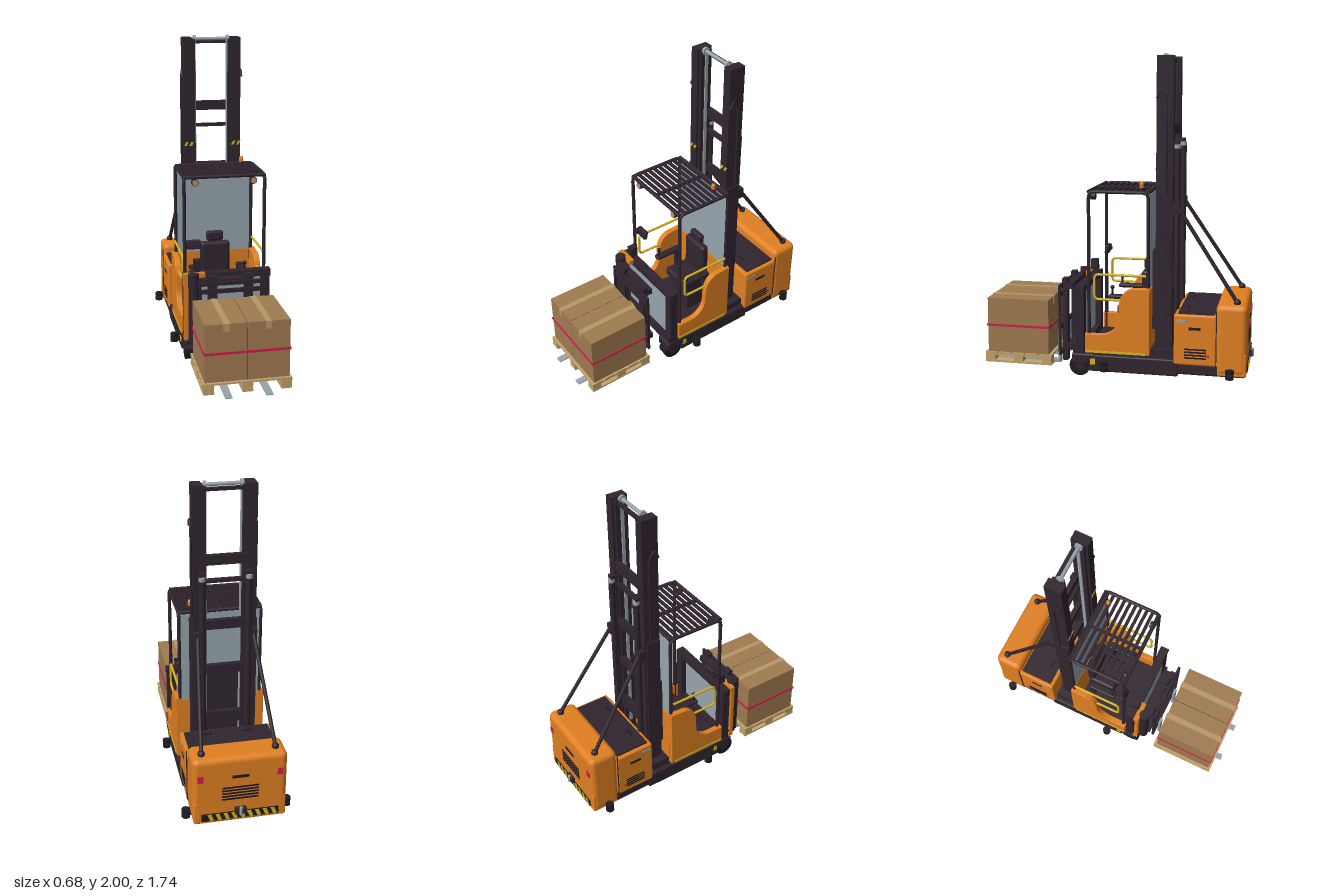
import * as THREE from 'three';
import { RoundedBoxGeometry } from 'three/addons/geometries/RoundedBoxGeometry.js';

const mat = (name, color, extra = {}) => Object.assign(new THREE.MeshStandardMaterial({ color, ...extra }), { name });

export function createModel() {
  const orange = mat('orange paint', 0xe08021), dark = mat('dark frame', 0x30252f);
  const black = mat('black rubber', 0x1f1a20), steel = mat('steel', 0x98a3aa);
  const glass = mat('clear panel', 0x97a5ae, { side: THREE.DoubleSide });
  const card = mat('cardboard', 0xa07b50), wood = mat('pallet wood', 0xc4a26c);
  const tape = mat('packing tape', 0xb8966a), yellow = mat('yellow', 0xd8b41c), red = mat('red', 0xd01c50);

  const model = new THREE.Group();
  const group = (name) => { const g = new THREE.Group(); g.name = name; model.add(g); return g; };
  const add = (g, name, geo, m, x = 0, y = 0, z = 0) => {
    const o = new THREE.Mesh(geo, m);
    o.name = name; o.position.set(x, y, z); g.add(o); return o;
  };
  // box given by its limits on each axis
  const box = (g, name, m, x0, x1, y0, y1, z0, z1, r = 0) => {
    const s = [x1 - x0, y1 - y0, z1 - z0];
    const geo = r ? new RoundedBoxGeometry(...s, 3, r) : new THREE.BoxGeometry(...s);
    return add(g, name, geo, m, (x0 + x1) / 2, (y0 + y1) / 2, (z0 + z1) / 2);
  };
  const cyl = (g, name, m, r, h, x, y, z, axis = 'y') => {
    const geo = new THREE.CylinderGeometry(r, r, h, 24);
    if (axis === 'x') geo.rotateZ(Math.PI / 2);
    if (axis === 'z') geo.rotateX(Math.PI / 2);
    return add(g, name, geo, m, x, y, z);
  };
  // round bar along straight runs with softened corners
  const bar = (g, name, m, pts, r, bend = 0.04) => {
    const p = pts.map((a) => new THREE.Vector3(...a)), path = new THREE.CurvePath();
    let from = p[0];
    for (let i = 1; i < p.length - 1; i++) {
      const a = p[i].clone().add(p[i - 1].clone().sub(p[i]).setLength(bend));
      const b = p[i].clone().add(p[i + 1].clone().sub(p[i]).setLength(bend));
      path.add(new THREE.LineCurve3(from, a));
      path.add(new THREE.QuadraticBezierCurve3(a, p[i], b));
      from = b;
    }
    path.add(new THREE.LineCurve3(from, p[p.length - 1]));
    return add(g, name, new THREE.TubeGeometry(path, p.length > 2 ? 80 : 1, r, 10), m);
  };
  // slanted warning stripes on a plate facing +z
  const stripes = (g, m, x0, y0, z, n, w, h) => {
    for (let i = 0; i < n; i++) {
      const a = x0 + i * w * 2;
      const s = new THREE.Shape([[a, y0], [a + w, y0], [a + w * 1.7, y0 + h], [a + w * 0.7, y0 + h]].map((p) => new THREE.Vector2(...p)));
      add(g, 'warningStripe', new THREE.ExtrudeGeometry(s, { depth: 0.003, bevelEnabled: false }), m, 0, 0, z);
    }
  };
  const sides = [-1, 1];
  // box mirrored over x
  const pair = (g, name, m, x0, x1, ...rest) => sides.forEach((s) => box(g, name, m, s > 0 ? x0 : -x1, s > 0 ? x1 : -x0, ...rest));

  // chassis, wheels and guide rollers
  const base = group('chassis');
  box(base, 'rearFrame', dark, -0.275, 0.275, 0.05, 0.12, -0.83, -0.4, 0.01);
  box(base, 'midFrame', dark, -0.28, 0.28, 0.035, 0.14, -0.42, 0.14, 0.01);
  pair(base, 'mastFoot', dark, 0.1, 0.25, 0.13, 0.19, -0.4, -0.23);
  pair(base, 'outrigger', dark, 0.165, 0.28, 0.075, 0.145, 0.1, 0.25, 0.012);
  box(base, 'frontBeam', dark, -0.27, 0.27, 0.1, 0.15, 0.13, 0.22);
  for (const s of sides) {
    cyl(base, 'frontWheel', black, 0.066, 0.07, s * 0.235, 0.066, 0.2, 'x');
    cyl(base, 'frontHub', dark, 0.03, 0.08, s * 0.235, 0.066, 0.2, 'x');
    box(base, 'sideLabel', yellow, s * 0.281 - 0.002, s * 0.281 + 0.002, 0.08, 0.118, 0.1, 0.13);
    for (const z of [0.035, -0.74]) {
      box(base, 'rollerArm', dark, s * 0.29 - 0.03, s * 0.29 + 0.03, 0.07, 0.09, z - 0.015, z + 0.015);
      cyl(base, 'guideRoller', black, 0.026, 0.022, s * 0.312, 0.096, z);
      cyl(base, 'guideRoller', black, 0.026, 0.022, s * 0.312, 0.064, z);
    }
  }
  cyl(base, 'driveWheel', black, 0.072, 0.06, 0, 0.072, -0.69, 'x');

  // rear hood and battery compartment
  const rear = group('rearBody');
  box(rear, 'hood', orange, -0.285, 0.285, 0.06, 0.498, -0.838, -0.65, 0.035);
  box(rear, 'hoodSkirt', orange, -0.28, 0.28, 0.055, 0.2, -0.836, -0.66, 0.01);
  box(rear, 'batteryBox', orange, -0.288, 0.288, 0.115, 0.43, -0.655, -0.395, 0.012);
  box(rear, 'batteryLid', dark, -0.265, 0.265, 0.42, 0.44, -0.642, -0.42);
  pair(rear, 'lidGrip', black, 0.1, 0.16, 0.44, 0.446, -0.475, -0.465);
  for (const s of sides) {
    const plate = (name, m, y0, y1, z0, z1) => box(rear, name, m, s * 0.288 - 0.003, s * 0.288 + 0.003, y0, y1, z0, z1);
    for (let i = 0; i < 4; i++) plate('sideVent', black, 0.158 + i * 0.018, 0.167 + i * 0.018, -0.595, -0.46);
    plate('sideGrip', black, 0.338, 0.354, -0.56, -0.485);
    plate('latch', steel, 0.384, 0.4, -0.475, -0.41);
    plate('sideReflector', red, 0.17, 0.185, -0.612, -0.598);
    plate('panelSeam', dark, 0.115, 0.46, -0.657, -0.652);
    box(rear, 'tailLight', red, s * 0.24 - 0.017, s * 0.24 + 0.017, 0.35, 0.395, -0.842, -0.835);
  }
  for (let i = 0; i < 5; i++) box(rear, 'rearVent', black, -0.11, 0.11, 0.21 + i * 0.02, 0.22 + i * 0.02, -0.841, -0.835);
  box(rear, 'rearGrip', black, -0.05, 0.05, 0.36, 0.378, -0.842, -0.835);
  box(rear, 'warningPlate', black, -0.235, 0.235, 0.075, 0.125, -0.843, -0.836);
  stripes(rear, yellow, -0.225, 0.078, -0.846, 9, 0.024, 0.044);
  box(rear, 'towBlock', dark, -0.035, 0.035, 0.115, 0.155, -0.86, -0.83);
  cyl(rear, 'towPin', steel, 0.01, 0.05, 0, 0.135, -0.86);

  // lifting mast with beams, cylinders, hoses and stays
  const mast = group('mast');
  pair(mast, 'outerUpright', dark, 0.128, 0.187, 0.14, 1.985, -0.37, -0.265);
  pair(mast, 'innerUpright', dark, 0.108, 0.128, 0.16, 1.975, -0.355, -0.28);
  pair(mast, 'slideRail', steel, 0.1, 0.108, 0.3, 1.99, -0.325, -0.305);
  pair(mast, 'lowerUpright', dark, 0.187, 0.2, 0.14, 1.15, -0.36, -0.27);
  for (const [y0, y1] of [[1.51, 1.57], [1.4, 1.42], [1.1, 1.16], [0.8, 0.86], [0.45, 0.53], [0.16, 0.28]])
    box(mast, 'crossBeam', dark, -0.13, 0.13, y0, y1, -0.365, -0.335);
  box(mast, 'topBeam', dark, -0.12, 0.12, 1.945, 1.965, -0.345, -0.325);
  cyl(mast, 'topShaft', steel, 0.011, 0.24, 0, 1.975, -0.31, 'x');
  for (const s of sides) {
    cyl(mast, 'chainWheel', steel, 0.025, 0.016, s * 0.108, 1.973, -0.31, 'x');
    cyl(mast, 'liftCylinder', dark, 0.019, 1.29, s * 0.14, 0.785, -0.39);
    cyl(mast, 'cylinderCap', steel, 0.021, 0.025, s * 0.14, 1.44, -0.39);
    box(mast, 'cylinderBracket', dark, s * 0.14 - 0.02, s * 0.14 + 0.02, 1.453, 1.475, -0.4, -0.36);
    bar(mast, 'hose', dark, [[s * 0.194, 1.73, -0.268], [s * 0.194, 1.79, -0.295], [s * 0.194, 1.72, -0.33], [s * 0.194, 0.3, -0.33]], 0.007, 0.03);
    bar(mast, 'stay', dark, [[s * 0.17, 1.07, -0.4], [s * 0.222, 0.51, -0.77]], 0.012);
    add(mast, 'stayJoint', new THREE.SphereGeometry(0.022, 16, 10), dark, s * 0.222, 0.508, -0.773);
    box(mast, 'stayBracket', dark, s * 0.17 - 0.02, s * 0.17 + 0.02, 1.03, 1.1, -0.41, -0.36);
    stripes(mast, yellow, s * 0.157 - 0.03, 1.285, -0.265, 2, 0.017, 0.026);
  }
  box(mast, 'cabCarriage', dark, -0.18, 0.18, 0.3, 0.8, -0.265, -0.245);

  // cab shell with curved side cutouts
  const cab = group('cab');
  const sh = new THREE.Shape();
  sh.moveTo(0.16, 0.16); sh.lineTo(0.16, 0.272); sh.lineTo(0.06, 0.272);
  sh.bezierCurveTo(0, 0.275, -0.05, 0.32, -0.052, 0.39);
  sh.lineTo(-0.055, 0.46);
  sh.bezierCurveTo(-0.06, 0.53, -0.1, 0.57, -0.15, 0.57);
  sh.lineTo(-0.24, 0.575); sh.lineTo(-0.24, 0.16); sh.closePath();
  const sideGeo = new THREE.ExtrudeGeometry(sh, { depth: 0.03, bevelSize: 0.004, bevelThickness: 0.004, bevelSegments: 2, curveSegments: 16 });
  sideGeo.rotateY(-Math.PI / 2);
  for (const s of sides) {
    add(cab, 'cabSide', sideGeo, orange, s > 0 ? 0.28 : -0.25);
    box(cab, 'sillStrip', yellow, s * 0.284 - 0.004, s * 0.284 + 0.004, 0.158, 0.172, -0.22, 0.16);
    bar(cab, 'roofFrame', dark, [[s * 0.255, 0.16, 0.142], [s * 0.255, 1.165, 0.142], [s * 0.255, 1.165, -0.23], [s * 0.255, 0.5, -0.23]], 0.011, 0.035);
    bar(cab, 'handrail', yellow, [[s * 0.262, 0.652, -0.22], [s * 0.262, 0.652, 0.105], [s * 0.262, 0.495, 0.105], [s * 0.262, 0.495, -0.07]], 0.008, 0.03);
    cyl(cab, 'headlightRim', dark, 0.022, 0.03, s * 0.185, 1.13, 0.128, 'z');
    cyl(cab, 'headlight', tape, 0.018, 0.006, s * 0.185, 1.13, 0.145, 'z');
  }
  box(cab, 'cabFloor', dark, -0.255, 0.255, 0.14, 0.175, -0.24, 0.16);
  box(cab, 'rearWall', orange, -0.26, 0.26, 0.16, 0.57, -0.245, -0.23);
  box(cab, 'rearPanel', glass, -0.245, 0.245, 0.57, 1.155, -0.238, -0.232);
  box(cab, 'frontPanel', glass, -0.245, 0.26, 0.16, 0.54, 0.212, 0.218);
  for (let i = 0; i < 10; i++) box(cab, 'roofSlat', dark, -0.255, 0.255, 1.158, 1.172, -0.222 + i * 0.039, -0.203 + i * 0.039);
  for (const z of [0.142, -0.23]) cyl(cab, 'roofCrossTube', dark, 0.011, 0.51, 0, 1.165, z, 'x');
  box(cab, 'roofSpine', dark, -0.008, 0.008, 1.155, 1.175, -0.23, 0.142);
  cyl(cab, 'beaconFoot', dark, 0.016, 0.015, 0.175, 1.178, -0.175);
  add(cab, 'beacon', new THREE.CapsuleGeometry(0.014, 0.02, 4, 16), orange, 0.175, 1.2, -0.175);

  // seat and controls
  const seat = group('seat');
  box(seat, 'seatPedestal', dark, -0.1, 0.1, 0.17, 0.37, -0.2, -0.04);
  box(seat, 'cushion', dark, -0.11, 0.11, 0.36, 0.425, -0.2, -0.005, 0.02);
  box(seat, 'backrest', dark, -0.1, 0.1, 0.4, 0.65, -0.215, -0.16, 0.022);
  box(seat, 'headrest', dark, -0.056, 0.056, 0.655, 0.72, -0.21, -0.17, 0.014);
  box(seat, 'headrestPost', dark, -0.02, 0.02, 0.63, 0.67, -0.2, -0.18);
  pair(seat, 'armrest', dark, 0.135, 0.185, 0.48, 0.505, -0.16, 0.035, 0.01);
  pair(seat, 'armrestPost', dark, 0.14, 0.17, 0.36, 0.485, -0.16, -0.12);
  sides.forEach((s) => {
    cyl(seat, 'joystick', black, 0.007, 0.05, s * 0.16, 0.52, 0.012);
    add(seat, 'joystickKnob', new THREE.SphereGeometry(0.013, 12, 8), black, s * 0.16, 0.552, 0.012);
  });
  box(seat, 'monitor', dark, -0.24, -0.15, 0.698, 0.758, 0.105, 0.13, 0.008).rotation.x = -0.2;
  box(seat, 'monitorArm', dark, -0.255, -0.22, 0.715, 0.735, 0.1, 0.145);
  box(seat, 'controlBox', dark, -0.21, -0.165, 0.59, 0.657, 0.183, 0.23);
  box(seat, 'controlBoxPost', dark, -0.195, -0.18, 0.55, 0.6, 0.2, 0.215);

  // front frame and swivelling fork head
  const head = group('forkHead');
  box(head, 'topRail', dark, -0.27, 0.28, 0.53, 0.572, 0.175, 0.23);
  box(head, 'bottomRail', dark, -0.27, 0.28, 0.15, 0.2, 0.175, 0.24);
  pair(head, 'frontPost', dark, 0.215, 0.275, 0.13, 0.572, 0.172, 0.225);
  for (const y of [0.15, 0.55]) {
    box(head, 'swivelBracket', orange, -0.28, -0.145, y, y + 0.032, 0.225, 0.26);
    box(head, 'swivelArm', dark, -0.2, 0.14, y - 0.03, y + 0.01, 0.275, 0.325);
  }
  box(head, 'swivelPlate', orange, -0.28, -0.25, 0.15, 0.58, 0.235, 0.26);
  cyl(head, 'swivelPost', dark, 0.034, 0.44, -0.222, 0.37, 0.282);
  pair(head, 'carriageUpright', dark, 0.085, 0.14, 0.05, 0.588, 0.312, 0.345);
  for (const y of [0.1, 0.27, 0.48, 0.53]) box(head, 'carriageBar', dark, -0.2, 0.2, y, y + 0.025, 0.34, 0.356);
  pair(head, 'carriageEnd', dark, 0.185, 0.2, 0.1, 0.555, 0.34, 0.356);
  // forks taper towards the tip
  const forkShape = new THREE.Shape([[0.36, 0.25], [0.36, 0.032], [0.865, 0.034], [0.865, 0.04], [0.6, 0.05], [0.376, 0.05], [0.376, 0.25]].map((p) => new THREE.Vector2(...p)));
  const forkGeo = new THREE.ExtrudeGeometry(forkShape, { depth: 0.042, bevelEnabled: false }).rotateY(-Math.PI / 2);
  sides.forEach((s) => add(head, 'fork', forkGeo, steel, s * 0.12 + 0.021));

  // pallet
  const pallet = group('pallet');
  for (let i = 0; i < 5; i++) box(pallet, 'deckBoard', wood, -0.262, 0.262, 0.104, 0.115, 0.387 + i * 0.0905, 0.463 + i * 0.0905);
  for (const x of [-0.23, 0, 0.23]) {
    box(pallet, 'stringer', wood, x - 0.032, x + 0.032, 0.094, 0.104, 0.387, 0.825);
    box(pallet, 'bottomBoard', wood, x - 0.032, x + 0.032, 0.048, 0.06, 0.387, 0.825);
    for (const z of [0.42, 0.606, 0.793]) box(pallet, 'block', wood, x - 0.03, x + 0.03, 0.06, 0.094, z - 0.031, z + 0.031);
  }

  // boxed load
  const load = group('load');
  for (const s of sides) {
    box(load, 'carton', card, s * 0.126 - 0.1245, s * 0.126 + 0.1245, 0.115, 0.466, 0.408, 0.808);
    box(load, 'tapeStrip', tape, s * 0.122 - 0.018, s * 0.122 + 0.018, 0.464, 0.468, 0.408, 0.808);
    box(load, 'sideStrap', red, s * 0.252 - 0.004, s * 0.252 + 0.004, 0.283, 0.297, 0.404, 0.812);
    for (const z of [0.406, 0.81]) box(load, 'tapeEnd', tape, s * 0.122 - 0.018, s * 0.122 + 0.018, 0.42, 0.468, z - 0.002, z + 0.002);
  }
  for (const z of [0.407, 0.81]) box(load, 'strap', red, -0.255, 0.255, 0.283, 0.297, z - 0.004, z + 0.004);
  box(load, 'cartonGap', dark, -0.002, 0.002, 0.115, 0.464, 0.41, 0.806);

  return model;
}
